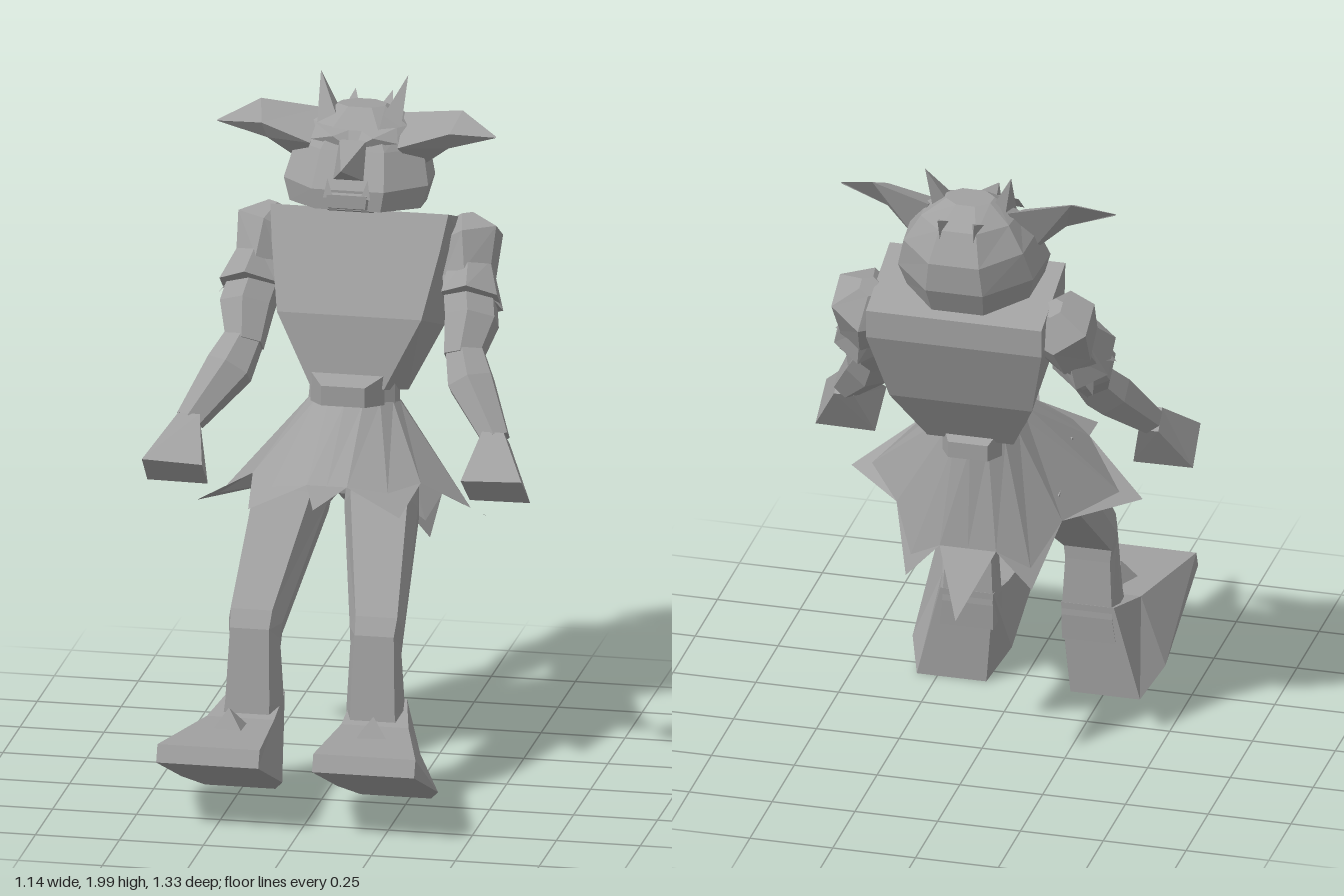
import * as THREE from 'three';

const grey = new THREE.MeshStandardMaterial({ color: 0xa0a0a0, side: THREE.DoubleSide });
grey.name = 'grey';

// Faceted skin through equal-length rings of [x, y, z]; capped shapes are turned outward by their volume
function loft(name, rings, capped = true) {
  const tris = [];
  const n = rings[0].length;
  for (let r = 0; r < rings.length - 1; r++) {
    for (let i = 0; i < n; i++) {
      const j = (i + 1) % n, a = rings[r], b = rings[r + 1];
      tris.push([a[i], a[j], b[j]], [a[i], b[j], b[i]]);
    }
  }
  if (capped) {
    const first = rings[0], last = rings[rings.length - 1];
    for (let i = 1; i < n - 1; i++) {
      tris.push([first[0], first[i + 1], first[i]], [last[0], last[i], last[i + 1]]);
    }
  }
  const v = (p) => new THREE.Vector3(...p);
  const c = v(rings[0][0]);
  let volume = 0;
  for (const t of tris) {
    const [p, q, s] = t.map((k) => v(k).sub(c));
    volume += p.dot(q.cross(s));
  }
  if (volume < 0) tris.forEach((t) => t.reverse());
  const geo = new THREE.BufferGeometry();
  geo.setAttribute('position', new THREE.Float32BufferAttribute(tris.flat(2), 3));
  geo.computeVertexNormals();
  const mesh = new THREE.Mesh(geo, grey);
  mesh.name = name;
  return mesh;
}

// Pointed shape from a base polygon to a tip
const spike = (name, base, tip) => loft(name, [base, base.map(() => tip)]);

// Polygon of n corners around a centre, facing along dir
function ringAt(centre, dir, r, n, squash = 1) {
  const d = new THREE.Vector3(...dir).normalize();
  const u = new THREE.Vector3(1, 0, 0).addScaledVector(d, -d.x).normalize();
  const w = d.clone().cross(u);
  return Array.from({ length: n }, (_, i) => {
    const a = ((i + 0.5) / n) * Math.PI * 2;
    return new THREE.Vector3(...centre).addScaledVector(u, Math.cos(a) * r * squash)
      .addScaledVector(w, Math.sin(a) * r).toArray();
  });
}

// Eight-cornered level: half-width, then front and back heights and depths
function octagon(w, yF, zF, yB, zB) {
  const plan = [[0.5, 0], [1, 0.3], [0.95, 0.68], [0.4, 1], [-0.4, 1], [-0.95, 0.68], [-1, 0.3], [-0.5, 0]];
  return plan.map(([x, t]) => [x * w, yF + (yB - yF) * t, zF + (zB - zF) * t]);
}

const flip = (s, pts) => pts.map(([x, y, z]) => [s * x, y, z]);

function makeHead() {
  const g = new THREE.Group();
  g.name = 'head';
  g.position.x = -0.025;
  g.add(loft('skull', [
    octagon(0.10, 1.65, -0.32, 1.58, -0.57),
    octagon(0.195, 1.65, -0.25, 1.6, -0.62),
    octagon(0.215, 1.71, -0.25, 1.68, -0.66),
    octagon(0.19, 1.81, -0.32, 1.77, -0.665),
    octagon(0.14, 1.86, -0.36, 1.86, -0.62),
    octagon(0.07, 1.91, -0.43, 1.905, -0.53),
  ]));
  g.add(spike('nose', [[-0.045, 1.74, -0.26], [0.045, 1.74, -0.26], [0.04, 1.84, -0.33], [-0.04, 1.84, -0.33]],
    [0, 1.8, -0.15]));
  g.add(loft('lowerLip', [
    [[-0.07, 1.63, -0.3], [0.07, 1.63, -0.3], [0.07, 1.71, -0.3], [-0.07, 1.71, -0.3]],
    [[-0.055, 1.66, -0.235], [0.055, 1.66, -0.235], [0.06, 1.7, -0.235], [-0.06, 1.7, -0.235]],
  ]));
  for (const s of [1, -1]) {
    g.add(spike('tusk', flip(s, [[0.04, 1.69, -0.235], [0.07, 1.69, -0.235], [0.055, 1.69, -0.27]]),
      [s * 0.06, 1.745, -0.25]));
    g.add(spike('brow', flip(s, [[0.01, 1.82, -0.32], [0.02, 1.86, -0.36], [0.12, 1.87, -0.38], [0.13, 1.83, -0.35]]),
      [s * 0.06, 1.85, -0.325]));
    // Ears: broad at the root, drooping to a forward tip
    g.add(loft('ear', [
      [[0.12, 1.88, -0.5], [0.13, 1.82, -0.34], [0.17, 1.73, -0.44]],
      [[0.3, 1.91, -0.46], [0.28, 1.865, -0.365], [0.27, 1.81, -0.4]],
      [[0.415, 1.86, -0.385], [0.415, 1.858, -0.38], [0.412, 1.855, -0.385]],
    ].map((r) => flip(s, r))));
    g.add(spike('horn', flip(s, [[0.06, 1.87, -0.41], [0.125, 1.86, -0.42], [0.11, 1.87, -0.49], [0.07, 1.89, -0.48]]),
      [s * 0.13, 1.995, -0.5]));
    g.add(spike('rearHorn', flip(s, [[0.03, 1.87, -0.57], [0.07, 1.87, -0.57], [0.05, 1.83, -0.63]]),
      [s * 0.055, 1.9, -0.64]));
  }
  return g;
}

// Ragged skirt: a flared cone to a hem, with flat pointed flaps hanging from it
function makeSkirt() {
  const half = [[0, 0.93, 0.38], [0.06, 0.94, 0.175], [0.225, 0.87, 0.22], [0.25, 0.92, 0.03], [0.44, 0.79, -0.08],
    [0.25, 0.79, -0.28], [0.19, 0.615, -0.4], [0.085, 0.73, -0.41], [0, 0.56, -0.55]];
  const points = [...half, ...flip(-1, half.slice(1, 8)).reverse()];
  const n = points.length;
  const out = [1, 0, 0.75, 0, 0.35, 0, 0.4, 0, 1];
  const hem = points.map((p, i) => {
    const a = points[(i + n - 1) % n], b = points[(i + 1) % n];
    const flat = out[i < 9 ? i : n - i];
    // Front and rear flaps hang from the line between notches; the others blend into the cone
    return p.map((k, c) => (i % 2 ? k : k + ((a[c] + b[c]) / 2 - k) * flat));
  });
  const top = points.map((_, i) => {
    const a = (i / n) * Math.PI * 2;
    return [Math.sin(a) * 0.135, 1.08 + Math.cos(a) * 0.035, -0.24 + Math.cos(a) * 0.145];
  });
  return loft('skirt', [points, hem, top], false);
}

function makeTorso() {
  const g = new THREE.Group();
  g.name = 'body';
  // Front half-width, height, depth, then the same for the back
  const level = (wF, yF, zF, wB, yB, zB) => [[wF, yF, zF], [wB, yB, zB], [-wB, yB, zB], [-wF, yF, zF]];
  g.add(loft('torso', [
    level(0.265, 1.64, -0.30, 0.265, 1.545, -0.57),
    level(0.25, 1.54, -0.247, 0.265, 1.46, -0.57),
    level(0.215, 1.36, -0.15, 0.215, 1.24, -0.49),
    level(0.11, 1.15, -0.12, 0.13, 1.07, -0.38),
  ]));
  g.add(loft('belt', [octagon(0.125, 1.18, -0.13, 1.11, -0.385), octagon(0.13, 1.09, -0.1, 1.03, -0.385)]));
  g.add(loft('buckle', [
    [[-0.11, 1.1, -0.13], [0.11, 1.1, -0.13], [0.11, 1.19, -0.13], [-0.11, 1.19, -0.13]],
    [[-0.065, 1.11, -0.06], [0.065, 1.11, -0.06], [0.065, 1.17, -0.06], [-0.065, 1.17, -0.06]],
  ]));
  g.add(loft('backKnot', [
    [[-0.09, 1.02, -0.36], [0.09, 1.02, -0.36], [0.09, 1.11, -0.36], [-0.09, 1.11, -0.36]],
    [[-0.06, 1.02, -0.41], [0.06, 1.02, -0.41], [0.06, 1.07, -0.41], [-0.06, 1.07, -0.41]],
  ]));
  g.add(makeSkirt());
  return g;
}

function makeArm(s) {
  const g = new THREE.Group();
  g.name = s > 0 ? 'leftArm' : 'rightArm';
  const add = (name, rings) => g.add(loft(name, rings.map((r) => flip(s, r))));
  const along = [0, -0.24, 0.2];
  add('upperArm', [ringAt([0.29, 1.5, -0.45], along, 0.085, 6), ringAt([0.335, 1.32, -0.3], along, 0.085, 6),
    ringAt([0.325, 1.23, -0.22], along, 0.06, 6)]);
  add('forearm', [ringAt([0.325, 1.25, -0.24], [0.1, -0.2, 0.15], 0.06, 6),
    ringAt([0.36, 1.17, -0.17], [0.1, -0.2, 0.15], 0.075, 6),
    ringAt([0.455, 1.04, -0.06], [0.1, -0.2, 0.15], 0.045, 6)]);
  // Fist: flares from the wrist to a flat rectangular end
  add('hand', [
    [[0.42, 1.07, -0.03], [0.485, 1.07, -0.03], [0.49, 1.02, -0.09], [0.43, 1.02, -0.09]],
    [[0.385, 0.96, 0.11], [0.565, 0.965, 0.105], [0.57, 0.87, 0], [0.39, 0.868, 0]],
  ]);
  // Two overlapping shoulder plates
  add('upperShoulderPad', [ringAt([0.275, 1.58, -0.48], [0.1, -0.24, 0.14], 0.035, 6),
    ringAt([0.295, 1.52, -0.45], [0.1, -0.24, 0.14], 0.115, 6, 0.95),
    ringAt([0.31, 1.42, -0.39], [0.05, -0.24, 0.16], 0.1, 6, 0.8)]);
  add('lowerShoulderPad', [ringAt([0.315, 1.46, -0.4], along, 0.07, 6),
    ringAt([0.33, 1.37, -0.33], along, 0.12, 6, 0.8)]);
  g.add(spike('padPoint', flip(s, [[0.34, 1.46, -0.37], [0.38, 1.4, -0.42], [0.38, 1.4, -0.31]]),
    [s * 0.425, 1.35, -0.32]));
  g.add(spike('rearPadPoint', flip(s, [[0.3, 1.4, -0.44], [0.38, 1.38, -0.4], [0.36, 1.35, -0.33]]),
    [s * 0.37, 1.26, -0.38]));
  return g;
}

function makeLeg(s) {
  const g = new THREE.Group();
  g.name = s > 0 ? 'leftLeg' : 'rightLeg';
  g.position.x = -0.025;
  const level = (cx, w, yF, zF, yB, zB) => flip(s, [
    [cx + w * 0.85, yF, zF], [cx + w, (yF + yB) / 2, (zF + zB) / 2], [cx + w * 0.9, yB, zB],
    [cx - w * 0.9, yB, zB], [cx - w, (yF + yB) / 2, (zF + zB) / 2], [cx - w * 0.7, yF, zF]]);
  g.add(loft('leg', [
    level(0.12, 0.1, 0.97, -0.09, 0.86, -0.26),
    level(0.135, 0.11, 0.86, -0.01, 0.76, -0.15),
    level(0.18, 0.08, 0.57, 0.24, 0.48, 0.175),
    level(0.18, 0.075, 0.52, 0.27, 0.44, 0.175),
    level(0.18, 0.085, 0.3, 0.3, 0.26, 0.165),
    level(0.185, 0.09, 0.22, 0.31, 0.18, 0.17),
  ]));
  // Foot sections from toe to heel: centre, half-width, height and depth of the top, then half-width, height, depth of the sole
  const section = (cT, wT, yT, zT, wS, yS, zS) => flip(s, [
    [cT - wT, yT, zT], [cT + wT, yT, zT], [0.232 + wS, yS, zS], [0.232 - wS, yS, zS]]);
  g.add(loft('foot', [
    section(0.232, 0.152, 0.27, 0.64, 0.152, 0.22, 0.66),
    section(0.2, 0.1, 0.265, 0.33, 0.15, 0.065, 0.3),
    section(0.182, 0.08, 0.3, 0.165, 0.105, 0.005, 0.18),
  ]));
  g.add(spike('footSpike', flip(s, [[0.16, 0.25, 0.37], [0.22, 0.25, 0.36], [0.27, 0.25, 0.46], [0.16, 0.25, 0.47]]),
    [s * 0.215, 0.325, 0.425]));
  return g;
}

export function createModel() {
  const model = new THREE.Group();
  model.name = 'hornedCreature';
  model.add(makeHead(), makeTorso());
  for (const s of [1, -1]) model.add(makeArm(s), makeLeg(s));
  return model;
}
